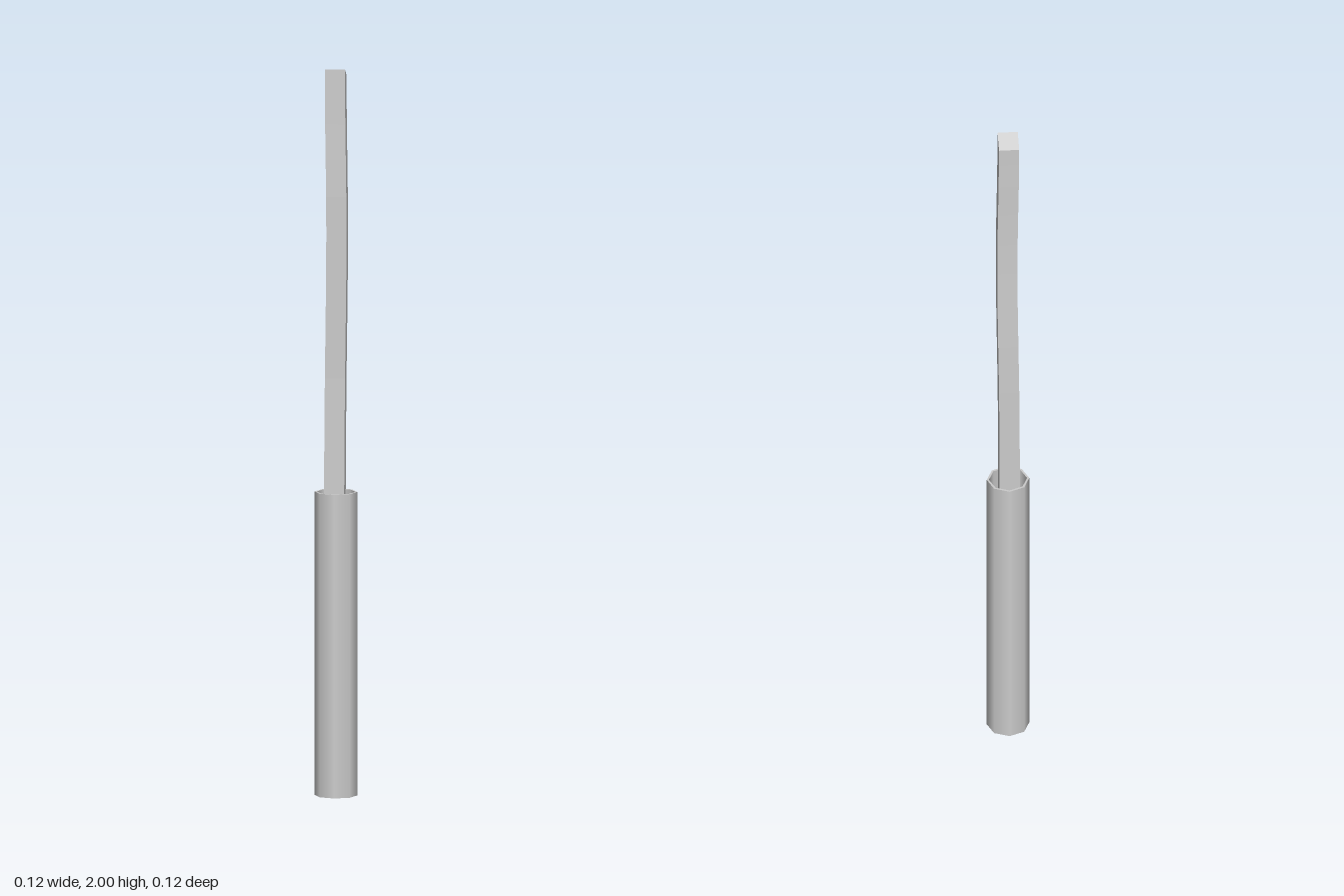
import * as THREE from 'three';

const material = new THREE.MeshStandardMaterial({ color: 0xcccccc, side: THREE.DoubleSide });
const flatMaterial = new THREE.MeshStandardMaterial({ color: 0xcccccc, flatShading: true });

// Open eight-sided tube with a thin wall: smooth inner and outer walls, flat rims
function createHandle(height, outer, inner) {
  const handle = new THREE.Group();
  handle.name = 'handle';
  const walls = [['outerWall', outer], ['innerWall', inner]];
  for (const [name, radius] of walls) {
    const wall = new THREE.Mesh(new THREE.CylinderGeometry(radius, radius, height, 8, 1, true), material);
    wall.position.y = height / 2;
    wall.name = name;
    handle.add(wall);
  }
  for (const [name, y, turn] of [['topRim', height, -1], ['bottomRim', 0, 1]]) {
    const rim = new THREE.Mesh(new THREE.RingGeometry(inner, outer, 8), material);
    rim.rotation.x = turn * Math.PI / 2;
    rim.position.y = y;
    rim.name = name;
    handle.add(rim);
  }
  return handle;
}

// Square rod that wavers slightly and ends in a slanted tip
function createRod(bottom, top) {
  const path = new THREE.CatmullRomCurve3([
    [-0.003, bottom, 0.002], [-0.003, 0.83, 0.001], [-0.001, 1.15, -0.002],
    [0.003, 1.45, 0.002], [0.003, 1.65, 0.004], [0, 1.85, 0.001], [-0.001, top, -0.001],
  ].map((p) => new THREE.Vector3(...p)));
  const rows = 12;
  const geometry = new THREE.BoxGeometry(0.055, 1, 0.052, 1, rows, 1);
  const position = geometry.attributes.position;
  for (let i = 0; i < position.count; i++) {
    const t = position.getY(i) + 0.5;
    const centre = path.getPoint(t);
    const x = position.getX(i), z = position.getZ(i);
    const slant = t > 0.999 ? (z < 0 ? -0.022 : 0) : 0;
    position.setXYZ(i, centre.x + x, centre.y + slant, centre.z + z);
  }
  geometry.computeVertexNormals();
  const rod = new THREE.Mesh(geometry, flatMaterial);
  rod.name = 'rod';
  return rod;
}

export function createModel() {
  const model = new THREE.Group();
  model.name = 'rodWithHandle';
  model.add(createHandle(0.835, 0.058, 0.052), createRod(0.6, 2));
  return model;
}
